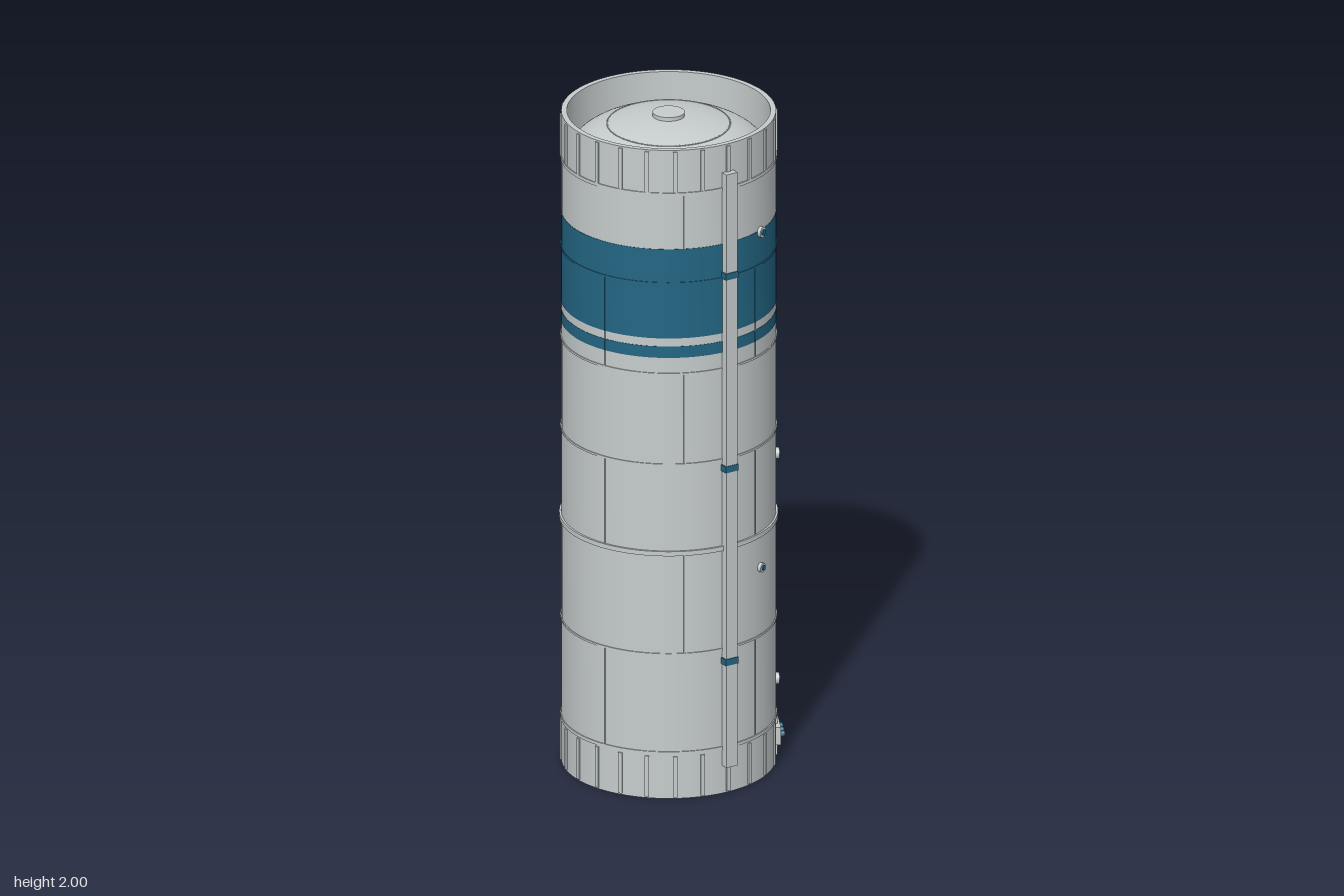
import * as THREE from 'three';
import { toCreasedNormals } from 'three/addons/utils/BufferGeometryUtils.js';

const R = 0.307;       // barrel radius
const CZ = -0.01;      // barrel axis sits slightly behind the centre
const SEGS = 96;
const rad = THREE.MathUtils.degToRad;

export function createModel() {
  const metal = new THREE.MeshStandardMaterial({ color: 0xc6cccc });
  metal.name = 'light grey metal';
  const blue = new THREE.MeshStandardMaterial({ color: 0x236684 });
  blue.name = 'blue paint';

  const model = new THREE.Group();
  model.name = 'rocketStage';
  const stage = new THREE.Group();
  stage.name = 'stage';
  stage.position.z = CZ;
  model.add(stage);

  const add = (name, geometry, material, parent = stage) => {
    const mesh = new THREE.Mesh(geometry, material);
    mesh.name = name;
    parent.add(mesh);
    return mesh;
  };

  // Turned profile, listed counterclockwise, with sharp edges kept
  const lathe = (points) => toCreasedNormals(
    new THREE.LatheGeometry(points.map(([r, y]) => new THREE.Vector2(r, y)), SEGS), 0.5);
  const shell = (ri, ro, y0, y1) => lathe([[ri, y0], [ro, y0], [ro, y1], [ri, y1], [ri, y0]]);

  // Group on the barrel surface whose +z points outward
  const mount = (name, degrees, y, r = R) => {
    const g = new THREE.Group();
    g.name = name;
    const a = rad(degrees);
    g.position.set(Math.sin(a) * r, y, Math.cos(a) * r);
    g.rotation.y = a;
    stage.add(g);
    return g;
  };
  const disc = (r, depth) => new THREE.CylinderGeometry(r, r, depth, 20).rotateX(Math.PI / 2);

  // Barrel and painted bands
  add('barrel', shell(0.291, R, 0, 2), metal);
  add('wideBand', shell(R - 0.002, R + 0.001, 1.42, 1.695), blue);
  add('narrowBand', shell(R - 0.002, R + 0.001, 1.36, 1.395), blue);

  // Inner tank with a domed head at each end
  const profile = [];
  const domeR = 0.286, domeH = 0.12, apex = 0.015, steps = 20;
  for (let i = 0; i <= steps; i++) {
    const t = (i / steps) * Math.PI / 2;
    profile.push(new THREE.Vector2(domeR * Math.sin(t), apex + domeH * (1 - Math.cos(t))));
  }
  for (let i = steps; i >= 0; i--) profile.push(new THREE.Vector2(profile[i].x, 2 - profile[i].y));
  profile[0].x = profile[profile.length - 1].x = 0;
  add('innerTank', new THREE.LatheGeometry(profile, SEGS), metal);

  // Weld ring and hatch on both domes
  const weldR = 0.176;
  const weldY = apex + domeH * (1 - Math.sqrt(1 - (weldR / domeR) ** 2));
  for (const top of [false, true]) {
    const side = (y) => (top ? 2 - y : y);
    const weld = add('domeWeld', new THREE.TorusGeometry(weldR, 0.002, 6, SEGS).rotateX(Math.PI / 2), metal);
    weld.position.y = side(weldY);
    const hatch = add('domeHatch', new THREE.CylinderGeometry(0.046, 0.046, 0.02, 40), metal);
    hatch.position.y = side(0.015);
  }

  // Skirt stringers and edge rings
  for (const [y0, y1, ringY] of [[0.005, 0.13, 0.14], [1.87, 1.995, 1.864]]) {
    for (let i = 0; i < 24; i++) {
      const g = mount('skirtStringer', i * 15, (y0 + y1) / 2);
      add('stringerBar', new THREE.BoxGeometry(0.012, y1 - y0, 0.009), metal, g);
    }
    add('skirtRing', shell(R - 0.002, R + 0.003, ringY - 0.005, ringY + 0.005), metal);
  }

  // Weld hoops between barrel sections
  for (const y of [0.445, 1.03, 1.31, 1.59]) {
    add('weldHoop', shell(R - 0.002, R + 0.003, y - 0.003, y + 0.003), y === 1.59 ? blue : metal);
  }
  add('middleRing', shell(R - 0.002, R + 0.006, 0.75, 0.764), metal);

  // Staggered upright seams, split where they cross the paint
  const seams = [
    [0.145, 0.445, 20, metal], [0.445, 0.75, 65, metal], [0.764, 1.03, 20, metal],
    [1.03, 1.31, 65, metal], [1.31, 1.36, 20, metal], [1.36, 1.395, 20, blue],
    [1.395, 1.42, 20, metal], [1.42, 1.59, 20, blue], [1.59, 1.695, 65, blue],
    [1.695, 1.86, 65, metal],
  ];
  for (const [y0, y1, start, material] of seams) {
    for (let i = 0; i < 4; i++) {
      const g = mount('uprightSeam', start + i * 90, (y0 + y1) / 2);
      add('seamStrip', new THREE.BoxGeometry(0.004, y1 - y0, 0.005), material, g);
    }
  }

  // Cable duct with clamps down the front
  const duct = mount('cableDuct', 0, 0);
  add('ductCover', new THREE.BoxGeometry(0.038, 1.83, 0.024), metal, duct).position.set(0, 1.0, 0.009);
  for (const y of [0.41, 1.005, 1.6]) {
    add('ductClamp', new THREE.BoxGeometry(0.044, 0.02, 0.026), blue, duct).position.set(0, y, 0.01);
  }

  // Service ports
  for (const [degrees, y, r] of [[62, 0.235, 0.017], [62, 0.93, 0.017], [25, 0.655, 0.014], [25, 1.69, 0.016]]) {
    const g = mount('servicePort', degrees, y);
    add('portCollar', disc(r, 0.014), metal, g).position.z = 0.003;
    add('portPlug', disc(r * 0.55, 0.02), blue, g).position.z = 0.004;
  }

  // Connector panel on the lower skirt
  const panel = mount('connectorPanel', 62, 0.075);
  add('panelPlate', new THREE.BoxGeometry(0.1, 0.054, 0.022), metal, panel);
  for (const x of [-0.03, 0, 0.03]) {
    add('connector', disc(0.01, 0.022), blue, panel).position.set(x, 0, 0.012);
  }

  return model;
}
